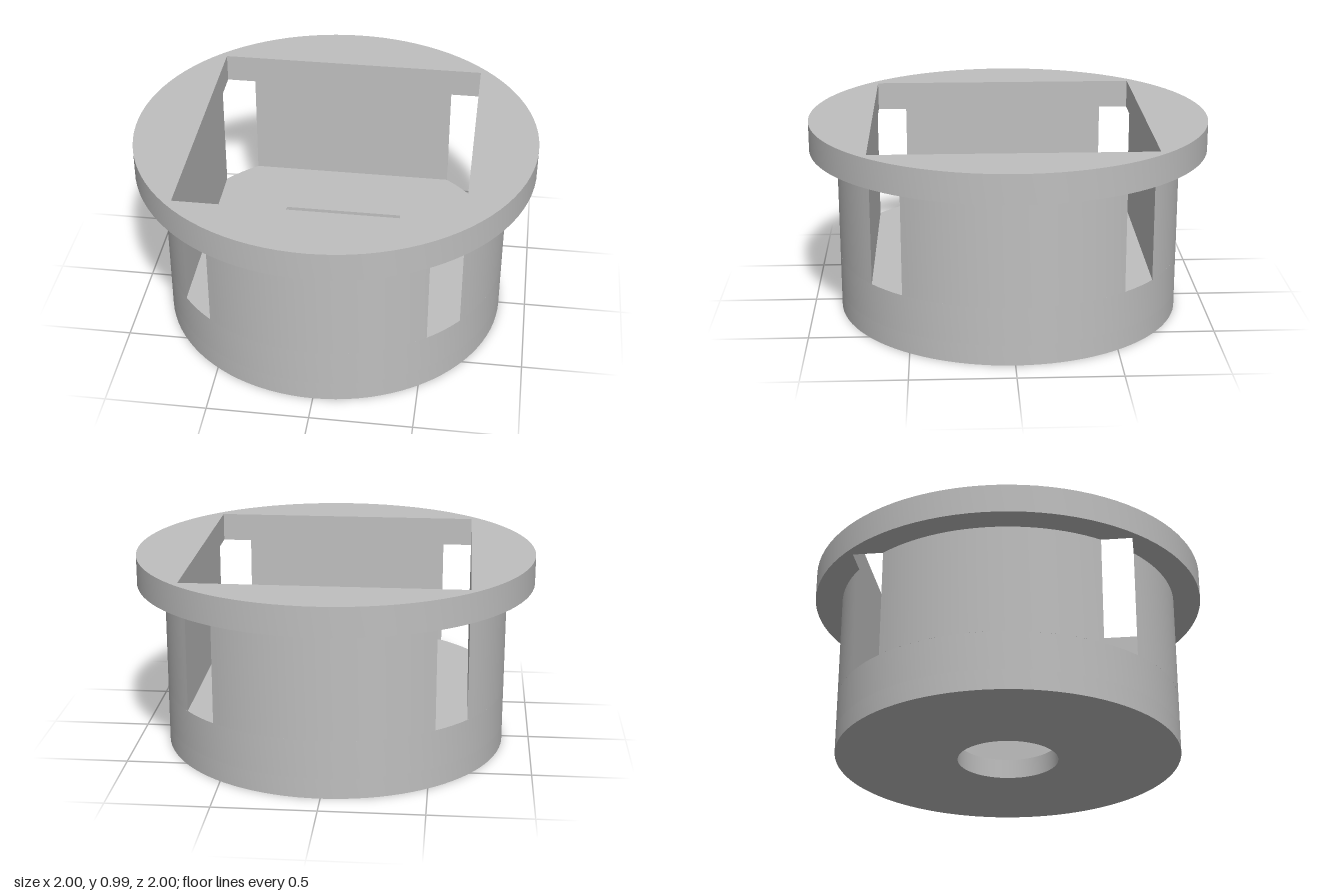
import * as THREE from 'three';
import { toCreasedNormals } from 'three/addons/utils/BufferGeometryUtils.js';

const FLANGE_R = 1, BODY_R = 0.8625, CAVITY = 0.68, POCKET = 0.307, HOLE_R = 0.252;
const POCKET_Y = 0.1, FLOOR_Y = 0.29, FLANGE_Y = 0.84, TOP_Y = 0.985;

const disc = (r) => new THREE.Shape().absarc(0, 0, r, 0, Math.PI * 2, false);

function squarePath(h) {
  return new THREE.Path([[-h, -h], [-h, h], [h, h], [h, -h]].map(([x, y]) => new THREE.Vector2(x, y)));
}

function circlePath(r) {
  return new THREE.Path().absarc(0, 0, r, 0, Math.PI * 2, true);
}

// Extrude a plan outline upward from y0 to y1
function slab(name, shape, y0, y1, material, curveSegments = 48) {
  let geo = new THREE.ExtrudeGeometry(shape, { depth: y1 - y0, bevelEnabled: false, curveSegments });
  geo.rotateX(-Math.PI / 2);
  geo.translate(0, y0, 0);
  geo = toCreasedNormals(geo, Math.PI / 6);
  const mesh = new THREE.Mesh(geo, material);
  mesh.name = name;
  return mesh;
}

export function createModel() {
  const group = new THREE.Group();
  group.name = 'flangedSocket';
  const grey = new THREE.MeshStandardMaterial({ color: 0xbfbfbf });
  grey.name = 'grey';

  // Bottom plate with the round through hole
  const bottom = disc(BODY_R);
  bottom.holes.push(circlePath(HOLE_R));
  group.add(slab('bottomPlate', bottom, 0, POCKET_Y, grey));

  // Cavity floor with the small square pocket
  const floor = disc(BODY_R);
  floor.holes.push(squarePath(POCKET));
  group.add(slab('cavityFloor', floor, POCKET_Y, FLOOR_Y, grey));

  // Four wall segments; the square cavity opens a window at each corner
  const a = Math.acos(CAVITY / BODY_R);
  for (let i = 0; i < 4; i++) {
    const segment = new THREE.Shape().absarc(0, 0, BODY_R, -a, a, false);
    const wall = slab('wallSegment' + (i + 1), segment, FLOOR_Y, FLANGE_Y, grey, 12);
    wall.rotation.y = i * Math.PI / 2;
    group.add(wall);
  }

  // Top flange with the square opening
  const flange = disc(FLANGE_R);
  flange.holes.push(squarePath(CAVITY));
  group.add(slab('topFlange', flange, FLANGE_Y, TOP_Y, grey));

  return group;
}
